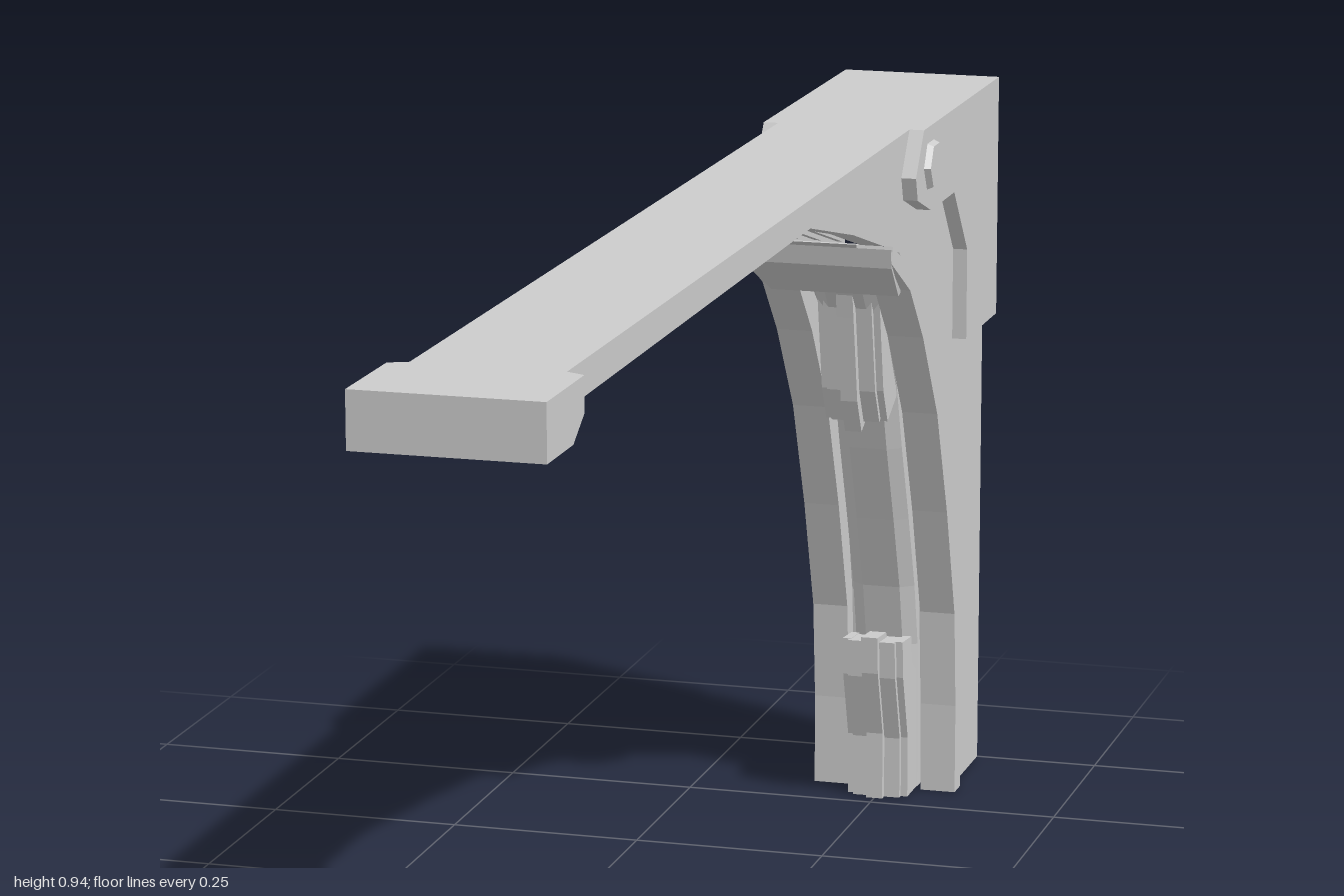
import * as THREE from 'three';

const mat = new THREE.MeshStandardMaterial({ color: 0xcccccc, flatShading: true, side: THREE.DoubleSide });

// Side-view curves as [z, y]
const UNDER = [[0.88, 0.9], [-0.11, 0.905], [-0.316, 0.857], [-0.466, 0.814]];
const RIM_BACK = [[-0.466, 0.814], [-0.594, 0.75], [-0.655, 0.697], [-0.707, 0.632], [-0.75, 0.55],
  [-0.782, 0.46], [-0.818, 0.36], [-0.84, 0.268], [-0.852, 0.13], [-0.857, 0]];
const RIM_FRONT = [[-0.46, 0.793], [-0.557, 0.74], [-0.627, 0.664], [-0.707, 0.546], [-0.766, 0.4],
  [-0.814, 0.25], [-0.825, 0.12], [-0.825, 0]];
const GUSSET = [[-1, 0.62], [-0.83, 0.62], [-0.83, 0.74], [-0.755, 0.83], [-0.63, 0.83],
  [-0.56, 0.855], [-0.55, 0.885], [-0.59, 0.94]];

const shapeOf = (pts) => new THREE.Shape(pts.map(([z, y]) => new THREE.Vector2(-z, y)));
const shift = (pts, dz, dy) => pts.map(([z, y]) => [z + dz, y + dy]);
const band = (a, b) => [...a, ...b.slice().reverse()];

export function createModel() {
  const group = new THREE.Group();
  const add = (name, geo) => {
    const mesh = new THREE.Mesh(geo, mat);
    mesh.name = name;
    group.add(mesh);
    return mesh;
  };
  // Side profile extruded across x
  const slab = (name, pts, x0, x1) => {
    const geo = new THREE.ExtrudeGeometry(shapeOf(pts), { depth: x1 - x0, bevelEnabled: false });
    return add(name, geo.rotateY(Math.PI / 2).translate(x0, 0, 0));
  };
  // Thin flat sheet lying in a plane of constant x
  const sheet = (name, pts, x) =>
    add(name, new THREE.ShapeGeometry(shapeOf(pts)).rotateY(Math.PI / 2).translate(x, 0, 0));
  // Surface through rows of points
  const loft = (name, rows) => {
    const n = rows[0].length, idx = [];
    for (let i = 0; i < rows.length - 1; i++) {
      for (let j = 0; j < n - 1; j++) {
        const a = i * n + j, b = a + n;
        idx.push(a, b, a + 1, a + 1, b, b + 1);
      }
    }
    const geo = new THREE.BufferGeometry();
    geo.setAttribute('position', new THREE.Float32BufferAttribute(rows.flat(2), 3));
    geo.setIndex(idx);
    geo.computeVertexNormals();
    return add(name, geo);
  };

  // Top sheet: narrow along the arm, wide above the gussets
  const roof = new THREE.Shape([[-0.105, 1], [0.105, 1], [0.105, 0.59], [0.086, 0.59], [0.086, -0.9],
    [-0.086, -0.9], [-0.086, 0.59], [-0.105, 0.59]].map(([x, y]) => new THREE.Vector2(x, y)));
  add('topSheet', new THREE.ShapeGeometry(roof).rotateX(-Math.PI / 2).translate(0, 0.94, 0));

  // Paired sides
  const wall = [[0.9, 0.94], ...UNDER, ...RIM_BACK.slice(1), [-1, 0], ...GUSSET];
  const gussetPlate = [[-1, 0.94], ...GUSSET];
  for (const s of [-1, 1]) {
    const side = s > 0 ? 'left' : 'right';
    const pair = (a, b) => (s > 0 ? [a, b] : [-b, -a]);
    sheet(side + 'Wall', wall, s * 0.086);
    sheet(side + 'Gusset', gussetPlate, s * 0.105);
    loft(side + 'GussetEdge', [0.086, 0.105].map((x) => GUSSET.map(([z, y]) => [s * x, y, z])));
    slab(side + 'ArchRim', band(RIM_FRONT, RIM_BACK), ...pair(0.05, 0.097));
    slab(side + 'ArmFlange', band(UNDER, shift(UNDER, 0, 0.02)), ...pair(0.055, 0.085));

    // Hexagonal bolt on the gusset
    const bolt = add(side + 'Bolt', new THREE.CylinderGeometry(0.03, 0.036, 0.012, 6).rotateZ(-s * Math.PI / 2));
    bolt.position.set(s * 0.107, 0.89, -0.625);
  }

  // Recessed arm underside with lengthwise ribs
  slab('armPanel', band(shift(UNDER, 0, 0.016), shift(UNDER, 0, 0.022)), -0.056, 0.056);
  for (const x of [-0.028, 0, 0.028]) {
    slab('armRib', band(shift(UNDER, 0, 0.003), shift(UNDER, 0, 0.018)), x - 0.004, x + 0.004);
  }
  slab('armPad', [[0.48, 0.9], [0.43, 0.895], [0.34, 0.895], [0.29, 0.9], [0.29, 0.92], [0.48, 0.92]], -0.035, 0.035);

  // End cap of the arm, with chamfered rear corners
  slab('endCap', [[1, 0.94], [1, 0.875], [0.91, 0.875], [0.87, 0.9], [0.87, 0.94]], -0.108, 0.108);
  for (const s of [-1, 1]) {
    const fillet = new THREE.Shape([[0.08, -0.87], [0.108, -0.87], [0.086, -0.86]]
      .map(([x, y]) => new THREE.Vector2(s * x, y)));
    add('capFillet', new THREE.ExtrudeGeometry(fillet, { depth: 0.04, bevelEnabled: false })
      .rotateX(-Math.PI / 2).translate(0, 0.9, 0));
  }

  // Lip closing the upper end of the arch, tapering downward
  const lip = slab('archLip', [[-0.455, 0.812], [-0.46, 0.787], [-0.55, 0.733], [-0.59, 0.745], [-0.5, 0.8]], -0.097, 0.097);
  const p = lip.geometry.attributes.position;
  for (let i = 0; i < p.count; i++) if (p.getY(i) < 0.76) p.setX(i, p.getX(i) * 0.86);
  lip.geometry.computeVertexNormals();

  // Recessed arch panel and the chamfered column in front of it
  slab('archPanel', band(RIM_BACK, shift(RIM_BACK, -0.006, 0)), -0.052, 0.052);
  const column = [[-0.585, 0.735], [-0.65, 0.655], [-0.695, 0.58], [-0.725, 0.49], [-0.765, 0.385],
    [-0.8, 0.285], [-0.82, 0.2], [-0.825, 0]];
  loft('archColumn', column.map(([z, y]) =>
    [[-0.042, -0.05], [-0.042, -0.014], [-0.025, 0], [0.025, 0], [0.042, -0.014], [0.042, -0.05]]
      .map(([x, d]) => [x, y, Math.max(z + d, -0.86)])));

  // Brackets at the head and foot of the column, each with side cheeks and a spine
  const foot = [[-0.77, 0], [-0.77, 0.09], [-0.742, 0.18], [-0.738, 0.23], [-0.785, 0.226], [-0.808, 0.19], [-0.835, 0.17], [-0.835, 0]];
  const head = [[-0.595, 0.73], [-0.603, 0.69], [-0.625, 0.575], [-0.648, 0.53], [-0.697, 0.555], [-0.715, 0.6], [-0.62, 0.735]];
  for (const [name, profile, dy] of [['foot', foot, 0], ['head', head, 0.012]]) {
    slab(name + 'Spine', profile, -0.011, 0.011);
    const body = profile.map(([z, y], i) => [i < 5 ? z - 0.01 : z, y > 0.01 ? y + dy - (dy ? 0 : 0.008) : y]);
    slab(name + 'Body', body, -0.032, 0.032);
    for (const s of [-1, 1]) {
      const cheek = body.map(([z, y], i) => [i < 5 ? z - 0.008 : z, y]);
      slab(name + 'Cheek', cheek, s > 0 ? 0.03 : -0.041, s > 0 ? 0.041 : -0.03);
    }
  }

  return group;
}
